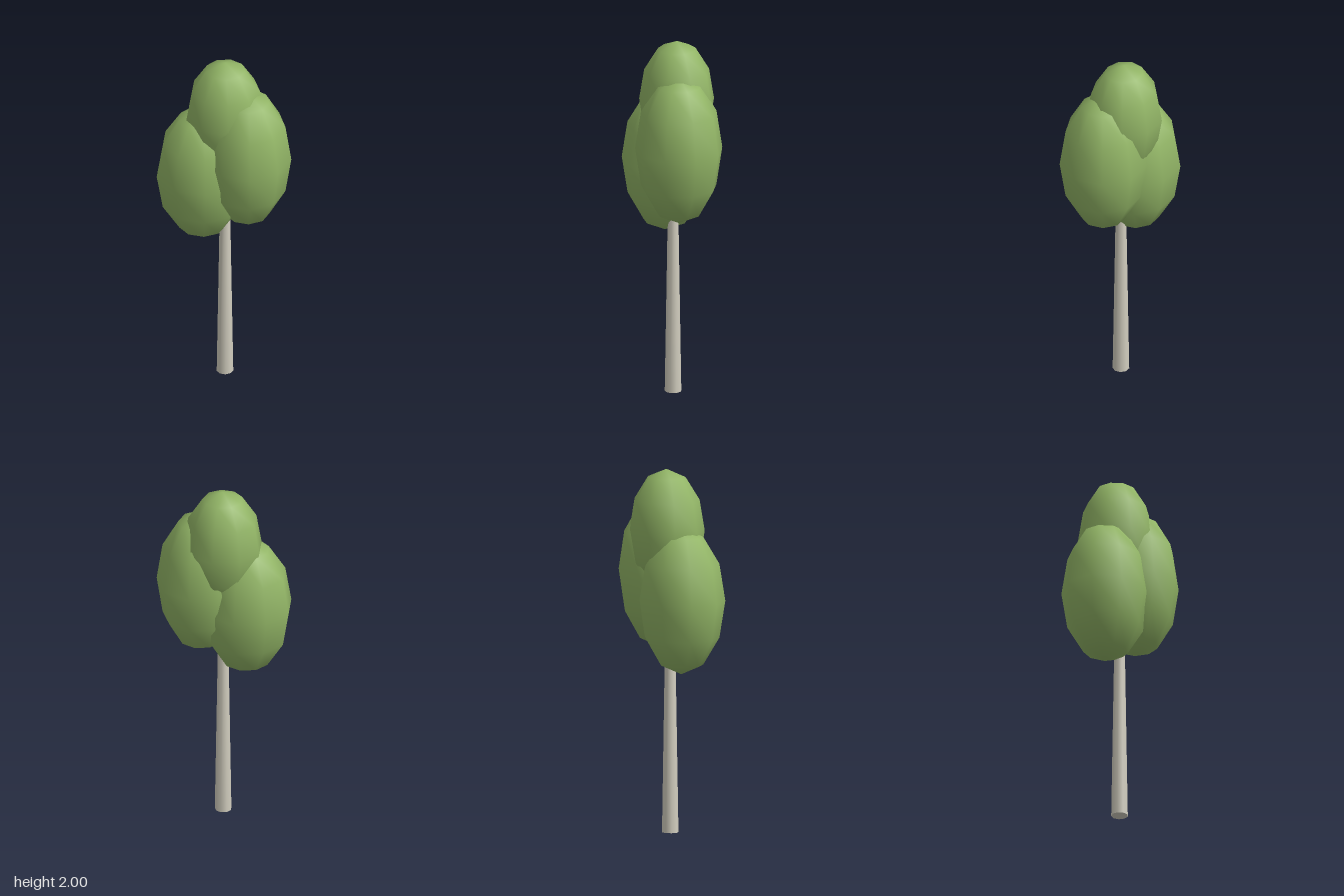
import * as THREE from 'three';

const SIDES = 9;
const leafMaterial = new THREE.MeshStandardMaterial({ color: 0x92b566 });
const barkMaterial = new THREE.MeshStandardMaterial({ color: 0xd2cebf });

// Smooth low-poly ellipsoid with one column of vertices facing +x
function crown(name, position, radii) {
  const geometry = new THREE.SphereGeometry(1, SIDES, 6, Math.PI);
  geometry.scale(...radii);
  const mesh = new THREE.Mesh(geometry, leafMaterial);
  mesh.name = name;
  mesh.position.set(...position);
  return mesh;
}

export function createModel() {
  const tree = new THREE.Group();
  tree.name = 'tree';

  // Tapered trunk, its top buried in the foliage
  const height = 1.1;
  const trunk = new THREE.Mesh(
    new THREE.CylinderGeometry(0.028, 0.046, height, SIDES).rotateY(Math.PI / 2),
    barkMaterial
  );
  trunk.name = 'trunk';
  trunk.position.set(0, height / 2, -0.01);
  tree.add(trunk);

  // Three overlapping masses of leaves
  tree.add(
    crown('topFoliage', [0, 1.66, -0.033], [0.218, 0.34, 0.205]),
    crown('leftFoliage', [0.125, 1.42, 0.007], [0.24, 0.42, 0.241]),
    crown('rightFoliage', [-0.125, 1.29, -0.015], [0.255, 0.405, 0.234])
  );
  return tree;
}
